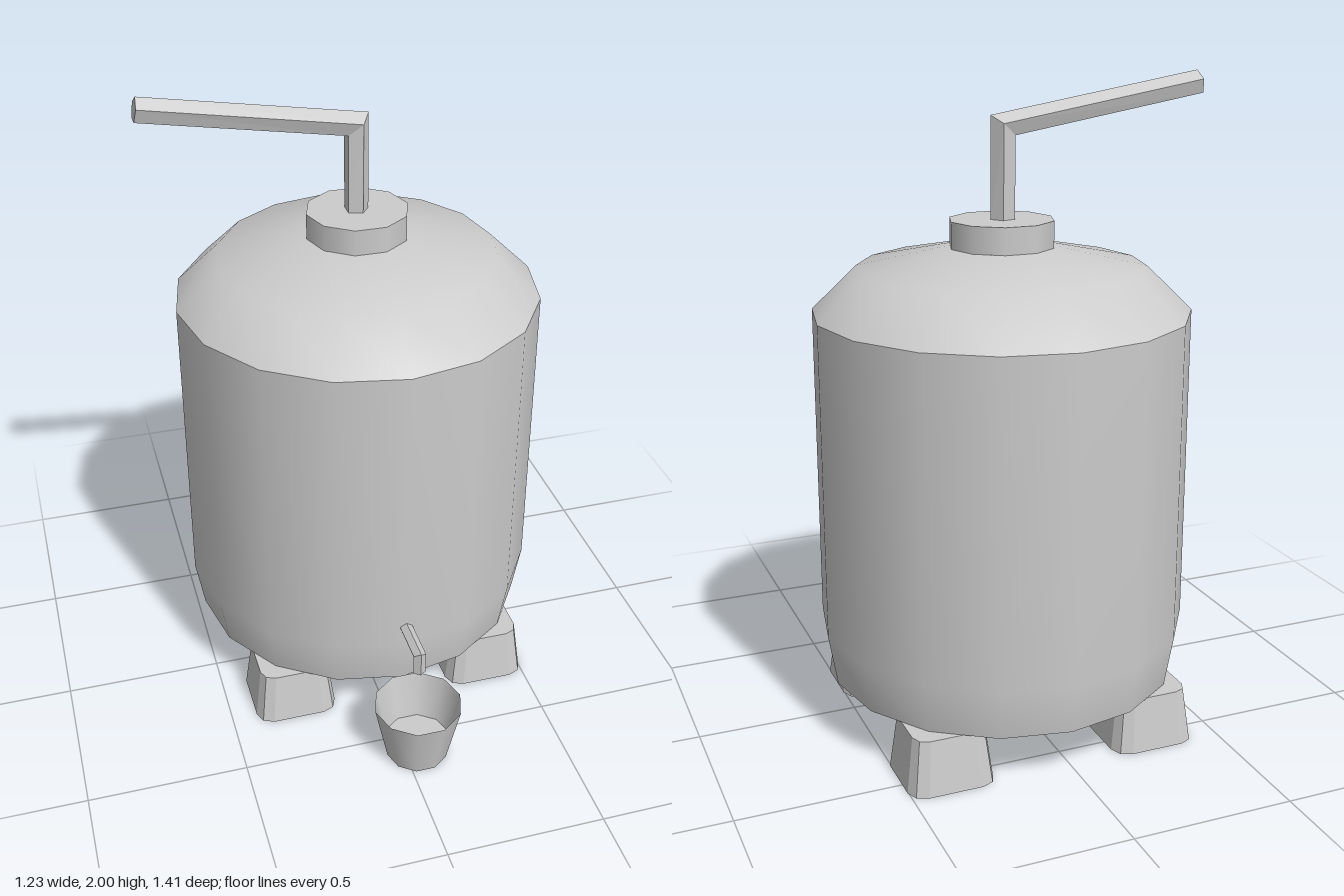
import * as THREE from 'three';

const V = (x, y, z) => new THREE.Vector3(x, y, z);

// Closed, flat-shaded skin over equal-length rings, with both ends capped.
function loft(rings) {
  const pos = [];
  const tri = (...pts) => pts.forEach((p) => pos.push(p.x, p.y, p.z));
  const n = rings[0].length;
  for (let k = 0; k < rings.length - 1; k++) {
    const a = rings[k], b = rings[k + 1];
    for (let i = 0; i < n; i++) {
      const j = (i + 1) % n;
      tri(a[i], a[j], b[j]);
      tri(a[i], b[j], b[i]);
    }
  }
  const first = rings[0], last = rings[rings.length - 1];
  for (let i = 1; i < n - 1; i++) {
    tri(first[0], first[i + 1], first[i]);
    tri(last[0], last[i], last[i + 1]);
  }
  const geo = new THREE.BufferGeometry();
  geo.setAttribute('position', new THREE.Float32BufferAttribute(pos, 3));
  geo.computeVertexNormals();
  return geo;
}

// Five-sided pipe section with its ridge along "out".
function section(center, out, side, r) {
  return Array.from({ length: 5 }, (_, i) => {
    const a = (i / 5) * Math.PI * 2;
    return center.clone()
      .addScaledVector(out, Math.cos(a) * r)
      .addScaledVector(side, Math.sin(a) * r);
  });
}

// Pipe with one mitred elbow.
function elbowPipe([start, corner, end], out1, out2, side, r, cornerWidth) {
  const mitre = out1.clone().add(out2).divideScalar(1 + out1.dot(out2));
  return loft([
    section(start, out1, side, r),
    section(corner, mitre, side.clone().multiplyScalar(cornerWidth), r),
    section(end, out2, side, r),
  ]);
}

// Square outline with rounded corners at height y.
function roundedSquare(half, radius, y) {
  const pts = [];
  for (let q = 0; q < 4; q++) {
    const mid = Math.PI / 4 + (q * Math.PI) / 2;
    const cx = Math.sign(Math.cos(mid)) * (half - radius);
    const cz = Math.sign(Math.sin(mid)) * (half - radius);
    for (let s = -1; s <= 1; s++) {
      const a = mid + (s * Math.PI) / 4;
      pts.push(V(cx + Math.cos(a) * radius, y, -(cz + Math.sin(a) * radius)));
    }
  }
  return pts;
}

export function createModel() {
  const model = new THREE.Group();
  const grey = new THREE.MeshStandardMaterial({ color: 0xcccccc });
  grey.name = 'lightGrey';
  const greyOpen = new THREE.MeshStandardMaterial({ color: 0xcccccc, side: THREE.DoubleSide });
  greyOpen.name = 'lightGrey';

  const add = (name, geo, x = 0, y = 0, z = 0, mat = grey, parent = model) => {
    const mesh = new THREE.Mesh(geo, mat);
    mesh.name = name;
    mesh.position.set(x, y, z);
    parent.add(mesh);
    return mesh;
  };
  const lathe = (pts, sides) => new THREE.LatheGeometry(pts.map(([r, y]) => new THREE.Vector2(r, y)), sides);
  const CX = 0.042, CZ = -0.136;

  // Tank: wall, domed roof and flat underside
  const tank = new THREE.Group();
  tank.name = 'tank';
  tank.position.set(CX, 0, CZ);
  model.add(tank);
  add('tankWall', lathe([[0.545, 0.17], [0.572, 0.33], [0.572, 1.31]], 16), 0, 0, 0, grey, tank);
  add('tankRoof', lathe([[0.572, 1.31], [0.436, 1.443], [0.164, 1.502], [0, 1.502]], 16), 0, 0, 0, grey, tank);
  add('tankBottom', new THREE.CircleGeometry(0.545, 16).rotateX(Math.PI / 2), 0, 0.17, 0, grey, tank);

  // Lid
  add('lid', new THREE.CylinderGeometry(0.16, 0.16, 0.1, 10).rotateY(Math.PI / 2), CX, 1.533, CZ);

  // Bent outlet pipe on the lid
  const bend = V(0.039, 1.855, CZ), tip = V(-0.607, 1.963, CZ);
  const dir = tip.clone().sub(bend).normalize();
  add('topPipe', elbowPipe([V(0.039, 1.57, CZ), bend, tip],
    V(1, 0, 0), V(dir.y, -dir.x, 0), V(0, 0, -1), 0.038, 1.15));

  // Tap on the front
  add('tap', elbowPipe([V(CX, 0.394, 0.41), V(CX, 0.394, 0.566), V(CX, 0.332, 0.566)],
    V(0, 1, 0), V(0, 0, 1), V(-1, 0, 0), 0.021, 1));

  // Bucket under the tap
  const bucket = new THREE.Group();
  bucket.name = 'bucket';
  bucket.position.set(CX, 0, 0.568);
  bucket.rotation.y = Math.PI / 2;
  model.add(bucket);
  add('bucketWall', lathe([[0.098, 0], [0.14, 0.198]], 10), 0, 0, 0, greyOpen, bucket);
  // floor discs share the wall's corner directions
  const disc = (r) => new THREE.CircleGeometry(r, 10, Math.PI / 2);
  add('bucketBottom', disc(0.098).rotateX(Math.PI / 2), 0, 0, 0, grey, bucket);
  add('bucketFloor', disc(0.107).rotateX(-Math.PI / 2), 0, 0.045, 0, grey, bucket);

  // Four tapered feet
  const footGeo = loft([roundedSquare(0.133, 0.05, 0), roundedSquare(0.112, 0.042, 0.169)]);
  for (const sx of [-1, 1]) {
    for (const sz of [-1, 1]) {
      add((sz > 0 ? 'front' : 'back') + (sx > 0 ? 'Left' : 'Right') + 'Foot',
        footGeo, CX + sx * 0.328, 0, CZ + sz * 0.33);
    }
  }

  return model;
}
